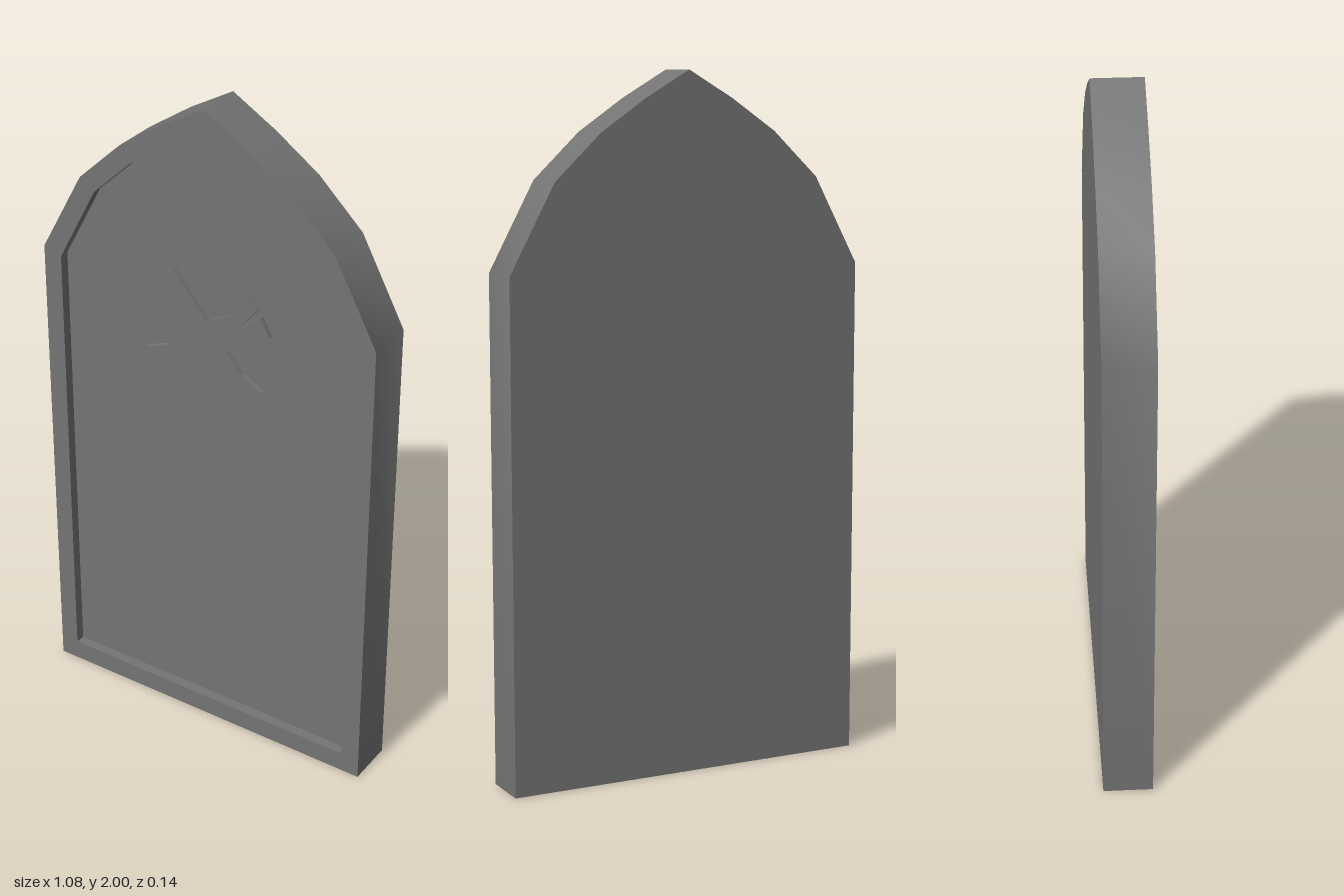
import * as THREE from 'three';
import { toCreasedNormals } from 'three/addons/utils/BufferGeometryUtils.js';

const FRONT = 0.072, BACK = -0.072, PANEL = 0.042;

// Mirror a right-hand half profile (base to apex) into a full arch
const arch = (half) => [
  ...half,
  ...half.slice(0, -1).reverse().map(([x, y]) => [-x, y]),
].map(([x, y]) => new THREE.Vector2(x, y));

// Wall following an outline from z0 to z1, facing outward for counter-clockwise points
function wall(points, z0, z1, closed) {
  const pos = [];
  const n = points.length;
  for (let i = 0; i < (closed ? n : n - 1); i++) {
    const a = points[i], b = points[(i + 1) % n];
    pos.push(a.x, a.y, z0, b.x, b.y, z0, b.x, b.y, z1);
    pos.push(a.x, a.y, z0, b.x, b.y, z1, a.x, a.y, z1);
  }
  const geo = new THREE.BufferGeometry();
  geo.setAttribute('position', new THREE.Float32BufferAttribute(pos, 3));
  return toCreasedNormals(geo, 0.6);
}

export function createModel() {
  const group = new THREE.Group();
  group.name = 'gravestone';
  const stone = new THREE.MeshStandardMaterial({ color: 0x747474, side: THREE.DoubleSide });
  stone.name = 'grey stone';

  const add = (name, geo, z = 0) => {
    const mesh = new THREE.Mesh(geo, stone);
    mesh.name = name;
    mesh.position.z = z;
    group.add(mesh);
    return mesh;
  };

  const outer = arch([[0.542, 0], [0.542, 1.45], [0.407, 1.7], [0.27, 1.83], [0.135, 1.922], [0, 2]]);
  const inner = arch([[0.484, 0.062], [0.484, 1.432], [0.36, 1.667], [0.236, 1.785], [0.115, 1.862], [0, 1.93]]);

  // Hollow slab, open underneath
  add('outerWall', wall(outer, BACK, FRONT, false));
  add('backFace', new THREE.ShapeGeometry(new THREE.Shape(outer)), BACK).rotation.y = Math.PI;

  // Raised border around the recessed panel
  const border = new THREE.Shape(outer);
  border.holes.push(new THREE.Path(inner));
  add('frontBorder', new THREE.ShapeGeometry(border), FRONT);
  add('recessWall', wall([...inner].reverse(), PANEL, FRONT, true));
  add('recessedPanel', new THREE.ShapeGeometry(new THREE.Shape(inner)), PANEL);

  // Tilted cross with flared arms and a chipped tip
  const cross = [
    [-0.2, 1.415], [-0.165, 1.405], [-0.075, 1.305], [-0.13, 1.25], [-0.21, 1.22],
    [-0.165, 1.12], [-0.005, 1.235], [0.065, 1.17], [0.09, 1.105], [0.185, 1.195],
    [0.115, 1.23], [0.065, 1.29], [0.13, 1.35], [0.205, 1.375], [0.175, 1.43],
    [0.11, 1.385], [0.165, 1.45], [0.125, 1.49], [0.07, 1.405], [0, 1.365], [-0.11, 1.495],
  ].map(([x, y]) => new THREE.Vector2(x, y));
  add('cross', new THREE.ExtrudeGeometry(new THREE.Shape(cross), { depth: 0.016, bevelEnabled: false }), PANEL);

  return group;
}
